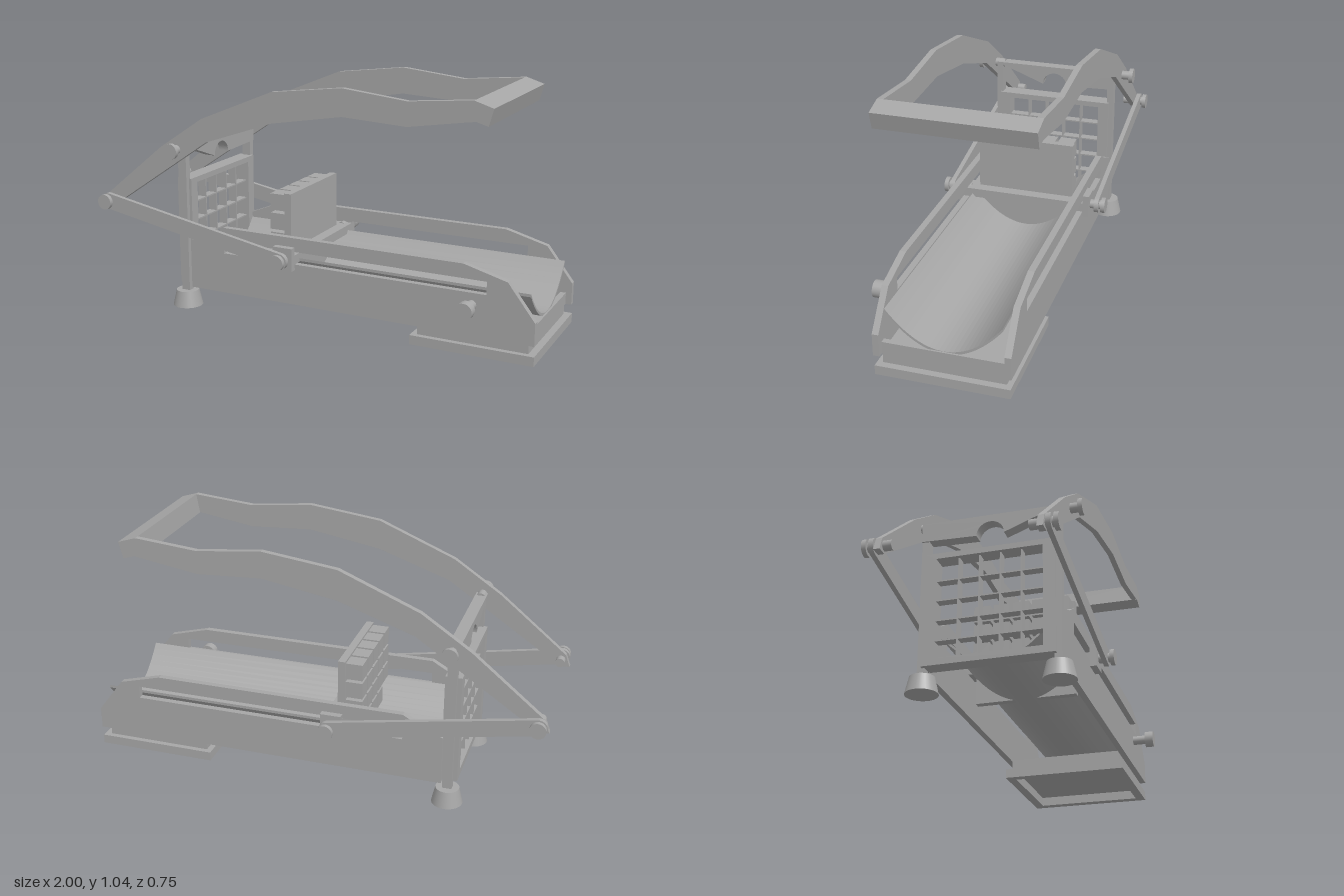
import * as THREE from 'three';

const steel = new THREE.MeshStandardMaterial({ color: 0xa6a6a6 });
steel.name = 'grey steel';

export function createModel() {
  const model = new THREE.Group();
  model.name = 'fryCutter';

  const add = (name, geometry) => {
    const mesh = new THREE.Mesh(geometry, steel);
    mesh.name = name;
    model.add(mesh);
    return mesh;
  };
  // box given by its limits on each axis
  const box = (name, x0, x1, y0, y1, z0, z1) => {
    const m = add(name, new THREE.BoxGeometry(x1 - x0, y1 - y0, z1 - z0));
    m.position.set((x0 + x1) / 2, (y0 + y1) / 2, (z0 + z1) / 2);
    return m;
  };
  const path = (points) => points.map(([x, y]) => new THREE.Vector2(x, y));
  const rect = (x0, x1, y0, y1) => path([[x0, y0], [x1, y0], [x1, y1], [x0, y1]]);
  const extrude = (shape, depth) =>
    new THREE.ExtrudeGeometry(shape, { depth, bevelEnabled: false, curveSegments: 20 });
  // side-view outline, extruded from z0 to z1
  const plate = (name, shape, z0, z1) => {
    const m = add(name, extrude(shape, z1 - z0));
    m.position.z = z0;
  };
  // cylinder along z
  const pin = (name, x, y, z0, z1, r) => {
    const m = add(name, new THREE.CylinderGeometry(r, r, Math.abs(z1 - z0), 24));
    m.rotation.x = Math.PI / 2;
    m.position.set(x, y, (z0 + z1) / 2);
  };

  // Outlines of the side parts
  const panel = new THREE.Shape(path([
    [-0.57, 0.085], [1, 0.085], [1, 0.18], [0.885, 0.33], [0.7, 0.38],
    [-0.4, 0.38], [-0.47, 0.34], [-0.57, 0.3],
  ]));
  panel.holes.push(new THREE.Path(rect(-0.4, 0.8, 0.265, 0.32)));

  const arm = new THREE.Shape(path([
    [-1, 0.42], [-0.955, 0.42], [-0.45, 0.76], [-0.13, 0.87], [0.19, 0.925],
    [0.47, 0.91], [0.75, 0.955], [0.8, 0.94], [0.82, 1.01], [0.74, 1.035],
    [0.47, 1.01], [0.19, 1.04], [-0.13, 1], [-0.47, 0.86], [-0.68, 0.72], [-0.98, 0.475],
  ]));

  const A = new THREE.Vector2(-0.96, 0.45), B = new THREE.Vector2(-0.09, 0.29);
  const angle = Math.atan2(B.y - A.y, B.x - A.x);
  const link = new THREE.Shape();
  link.absarc(A.x, A.y, 0.035, angle + Math.PI / 2, angle + Math.PI * 1.5);
  link.absarc(B.x, B.y, 0.035, angle - Math.PI / 2, angle + Math.PI / 2);

  for (const s of [1, -1]) {
    const both = (name, shape, a, b) => plate(name, shape, Math.min(s * a, s * b), Math.max(s * a, s * b));
    both('sidePanel', panel, 0.25, 0.277);
    both('handleArm', arm, 0.295, 0.32);
    both('link', link, 0.325, 0.345);
    both('slider', new THREE.Shape(rect(-0.14, -0.05, 0.24, 0.34)), 0.277, 0.305);

    // Pivot bolts with wide heads
    for (const [x, y, inner] of [[A.x, A.y, 0.26], [-0.6, 0.715, 0.25], [B.x, B.y, 0.25]]) {
      pin('boltShaft', x, y, s * inner, s * 0.36, 0.02);
      pin('boltHead', x, y, s * 0.355, s * 0.373, 0.034);
    }

    // Post and rubber foot
    const z = s * 0.27;
    box('post', -0.618, -0.578, 0.06, 0.725, z - 0.015, z + 0.015);
    const foot = add('foot', new THREE.CylinderGeometry(0.05, 0.066, 0.07, 32));
    foot.position.set(-0.598, 0.035, z);
  }

  // Grip joining the arms
  plate('handleGrip', new THREE.Shape(path([[0.725, 0.95], [0.75, 0.955], [0.8, 0.94], [0.82, 1.01], [0.74, 1.035]])), -0.32, 0.32);

  // Locking knob on the left panel
  pin('knobShaft', 0.74, 0.215, 0.26, 0.34, 0.02);
  pin('knobHead', 0.74, 0.215, 0.335, 0.373, 0.036);

  // Curved trough: a sheet whose height follows a parabola
  const W = 0.235, trough = new THREE.Shape();
  const curve = (lift, dir) => Array.from({ length: 25 }, (_, i) => {
    const z = dir * W * (i / 12 - 1);
    return [z, 0.124 + lift + 0.145 * (z / W) ** 2];
  });
  trough.setFromPoints(path([...curve(0, 1), ...curve(0.012, -1)]));
  const troughMesh = add('trough', extrude(trough, 1.525));
  troughMesh.rotation.y = Math.PI / 2;
  troughMesh.position.x = -0.558;

  // Front cross panel and base with a hollow underside
  box('frontCrossPanel', 0.95, 0.975, 0.085, 0.135, -0.25, 0.25);
  box('baseUpper', 0.5, 0.97, 0.04, 0.09, -0.25, 0.25);
  const rim = new THREE.Shape(rect(0.475, 1, -0.273, 0.273));
  rim.holes.push(new THREE.Path(rect(0.515, 0.96, -0.233, 0.233)));
  const rimMesh = add('baseRim', extrude(rim, 0.04));
  rimMesh.rotation.x = -Math.PI / 2;

  // Blade frame and blades
  const frame = new THREE.Shape(rect(-0.265, 0.265, 0.1, 0.577));
  frame.holes.push(new THREE.Path(rect(-0.217, 0.217, 0.13, 0.553)));
  const frameMesh = add('bladeFrame', extrude(frame, 0.07));
  frameMesh.rotation.y = Math.PI / 2;
  frameMesh.position.x = -0.636;
  const pitch = 0.085;
  for (let i = 0; i < 4; i++) {
    const z = (i - 1.5) * pitch, y = 0.207 + i * pitch;
    box('uprightBlade', -0.62, -0.58, 0.13, 0.553, z - 0.003, z + 0.003);
    box('levelBlade', -0.62, -0.58, y - 0.003, y + 0.003, -0.217, 0.217);
  }

  // Top bridge with a half-round notch
  const bridge = new THREE.Shape();
  bridge.moveTo(-0.285, 0.645);
  bridge.absarc(0, 0.638, 0.057, Math.PI, 0, true);
  bridge.lineTo(0.285, 0.645).lineTo(0.285, 0.725).lineTo(-0.285, 0.725);
  const bridgeMesh = add('topBridge', extrude(bridge, 0.05));
  bridgeMesh.rotation.y = Math.PI / 2;
  bridgeMesh.position.x = -0.625;

  // Pusher: plate, cross bar and the grid of blocks that clears the trough
  box('pusherPlate', -0.132, -0.1, 0.13, 0.55, -0.215, 0.215);
  box('pusherCrossBar', -0.135, -0.05, 0.265, 0.305, -0.28, 0.28);
  for (let row = 0; row < 5; row++) {
    const reach = row < 3 ? 2 : row === 3 ? 1 : 0;
    for (let c = -reach; c <= reach; c++) {
      const y = 0.505 - row * pitch, z = c * pitch;
      box('pusherBlock', -0.205, -0.13, y - 0.036, y + 0.036, z - 0.036, z + 0.036);
    }
  }
  return model;
}
